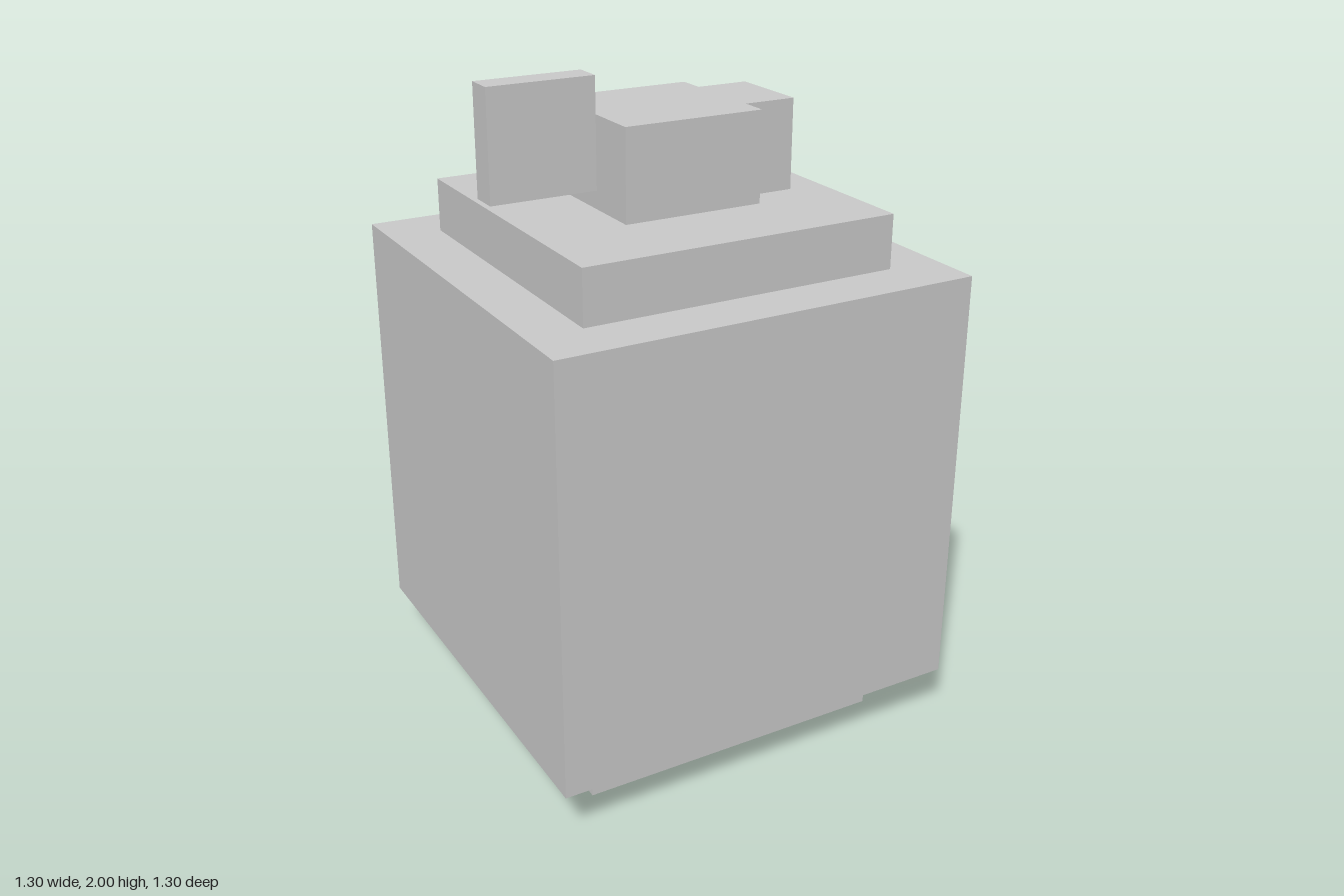
import * as THREE from 'three';

// One modelling unit; the whole model is 37 units tall
const U = 2 / 37;

export function createModel() {
  const model = new THREE.Group();
  model.name = 'blockJar';
  const material = new THREE.MeshStandardMaterial({ color: 0xcccccc, flatShading: true });

  // Box from its x range, y range and depth, centred on z = 0
  function block(name, [x0, x1], [y0, y1], depth) {
    const mesh = new THREE.Mesh(
      new THREE.BoxGeometry((x1 - x0) * U, (y1 - y0) * U, depth * U),
      material
    );
    mesh.position.set(((x0 + x1) / 2) * U, ((y0 + y1) / 2) * U, 0);
    mesh.name = name;
    model.add(mesh);
  }

  // Stacked main body
  block('base', [-9, 9], [0, 3], 18);
  block('body', [-12, 12], [3, 27], 24);
  block('shoulder', [-9, 9], [27, 30], 18);

  // Top fitting with a spout on one side and a thin raised lever on the other
  block('cap', [-4, 4], [30, 35], 8);
  block('spout', [4, 7], [30, 35], 4.85);
  block('lever', [-10, -4], [31, 37], 1.6);

  return model;
}
